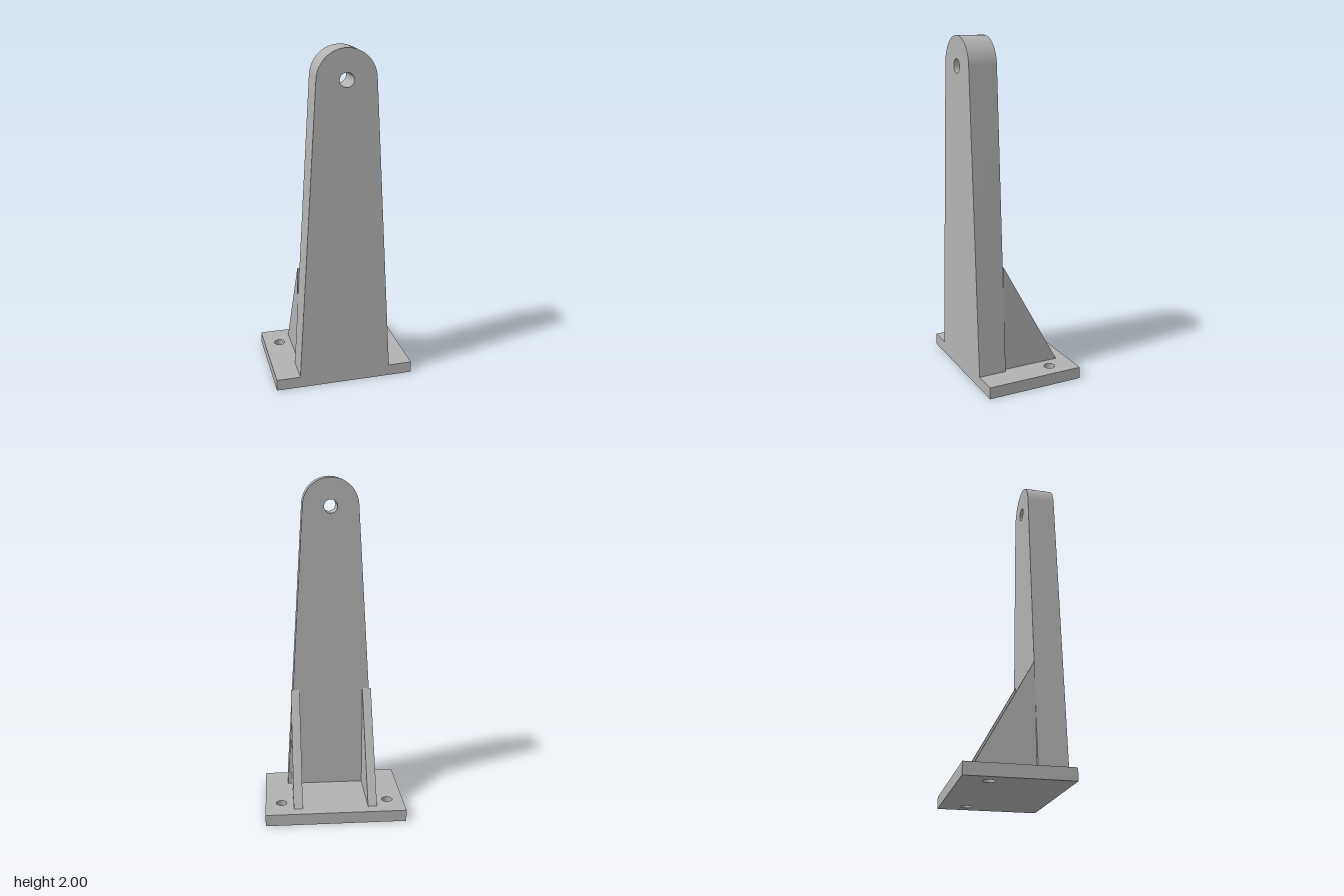
import * as THREE from 'three';
import { toCreasedNormals } from 'three/addons/utils/BufferGeometryUtils.js';

const steel = new THREE.MeshStandardMaterial({ color: 0xb2b2b2 });
steel.name = 'grey steel';

const BASE_TOP = 0.07, FRONT = 0.295, BACK = 0.127;

function circleHole(x, y, r) {
  return new THREE.Path().absarc(x, y, r, 0, Math.PI * 2, true);
}

function extrude(shape, depth) {
  const geo = new THREE.ExtrudeGeometry(shape, { depth, bevelEnabled: false, curveSegments: 48 });
  return toCreasedNormals(geo, 0.5);
}

function part(name, geometry) {
  const mesh = new THREE.Mesh(geometry, steel);
  mesh.name = name;
  return mesh;
}

export function createModel() {
  const group = new THREE.Group();
  group.name = 'bracket';

  // Base plate with two bolt holes behind the upright
  const base = new THREE.Shape([
    new THREE.Vector2(-0.42, -FRONT), new THREE.Vector2(0.42, -FRONT),
    new THREE.Vector2(0.42, FRONT), new THREE.Vector2(-0.42, FRONT),
  ]);
  for (const side of [-1, 1]) base.holes.push(circleHole(side * 0.324, 0.142, 0.032));
  group.add(part('basePlate', extrude(base, BASE_TOP).rotateX(-Math.PI / 2)));

  // Tapered upright: straight sides tangent to a round head, with a pin hole
  const r = 0.168, cy = 2 - r, tilt = 0.062;
  const upright = new THREE.Shape();
  upright.moveTo(-0.277, BASE_TOP);
  upright.lineTo(0.277, BASE_TOP);
  upright.lineTo(r * Math.cos(tilt), cy + r * Math.sin(tilt));
  upright.absarc(0, cy, r, tilt, Math.PI - tilt, false);
  upright.closePath();
  upright.holes.push(circleHole(0, cy, 0.04));
  group.add(part('upright', extrude(upright, FRONT - BACK).translate(0, 0, BACK)));

  // Triangular gussets bracing the back of the upright
  const gusset = new THREE.Shape([
    new THREE.Vector2(-BACK, BASE_TOP), new THREE.Vector2(0.228, BASE_TOP),
    new THREE.Vector2(-BACK, 0.705),
  ]);
  const width = 0.054;
  for (const side of [-1, 1]) {
    const mesh = part(side > 0 ? 'leftGusset' : 'rightGusset', extrude(gusset, width).rotateY(Math.PI / 2));
    mesh.position.x = side * 0.224 - width / 2;
    group.add(mesh);
  }
  return group;
}
